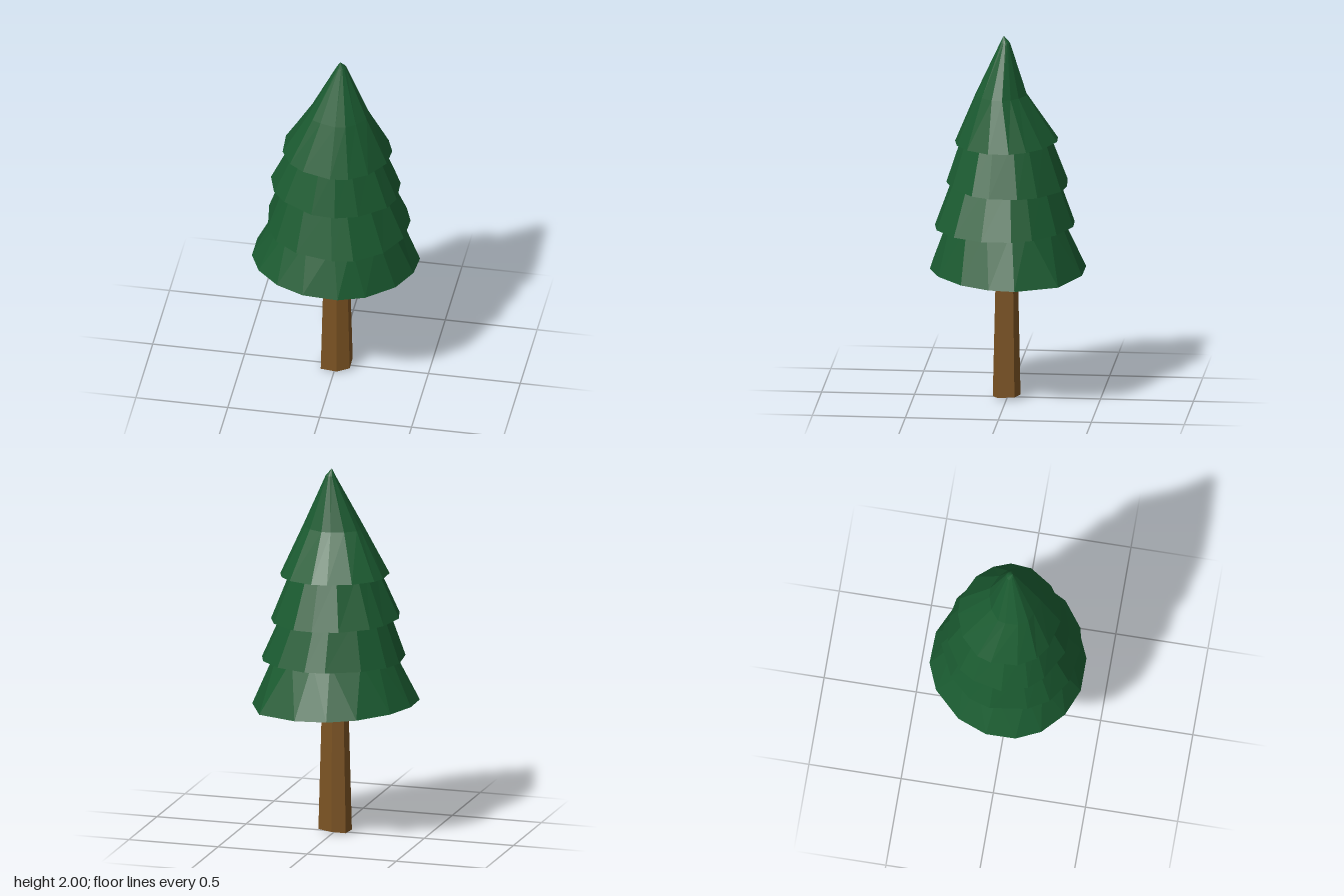
import * as THREE from 'three';

// Flat-shaded loft through rings of equal point count (anticlockwise from above), capped at both ends.
function loft(rings) {
  const pos = [];
  const tri = (...pts) => pts.forEach((p) => pos.push(p.x, p.y, p.z));
  const centre = (r) => r.reduce((s, p) => s.add(p), new THREE.Vector3()).divideScalar(r.length);
  const n = rings[0].length;
  const first = rings[0], last = rings[rings.length - 1];
  const low = centre(first), high = centre(last);
  for (let i = 0; i < n; i++) {
    const j = (i + 1) % n;
    for (let k = 0; k < rings.length - 1; k++) {
      const a = rings[k], b = rings[k + 1];
      tri(a[i], a[j], b[j]);
      tri(a[i], b[j], b[i]);
    }
    tri(low, first[j], first[i]);
    tri(high, last[i], last[j]);
  }
  const geo = new THREE.BufferGeometry();
  geo.setAttribute('position', new THREE.Float32BufferAttribute(pos, 3));
  geo.computeVertexNormals();
  return geo;
}

// Ring from plan points [x, z], on a plane tilted along x and z.
const planRing = (plan, y, tiltX = 0, tiltZ = 0) =>
  plan.map(([x, z]) => new THREE.Vector3(x, y + tiltX * x + tiltZ * z, z));

// Slightly irregular oval plan spanning x0..x1 and z0..z1.
const SIDES = 15;
function oval(x0, x1, z0, z1, turn, wobble = 0.02) {
  return Array.from({ length: SIDES }, (_, i) => {
    const a = ((i + turn) / SIDES) * Math.PI * 2 + 0.07 * Math.sin(i * 2.3 + turn * 5);
    const r = 1 + wobble * Math.sin(i * 4.1 + turn * 9) * 0.5;
    return [(x0 + x1) / 2 + ((x1 - x0) / 2) * r * Math.cos(a),
      (z0 + z1) / 2 - ((z1 - z0) / 2) * r * Math.sin(a)];
  });
}

export function createModel() {
  const group = new THREE.Group();
  const leaf = new THREE.MeshStandardMaterial({ color: 0x1a5a30, flatShading: true });
  const bark = new THREE.MeshStandardMaterial({ color: 0x7a5222, flatShading: true });
  const add = (name, rings, material) => {
    const mesh = new THREE.Mesh(loft(rings), material);
    mesh.name = name;
    group.add(mesh);
  };

  // Trunk: tapered six-sided post with a slightly slanted foot
  const foot = [[0.08, 0.045], [0.08, -0.045], [0, -0.07], [-0.075, -0.05], [-0.075, 0.06], [0.015, 0.078]];
  const neck = foot.map(([x, z]) => [x * 0.78, z * 0.78]);
  add('trunk', [planRing(foot, 0.009, 0.07, -0.06), planRing(neck, 0.75)], bark);

  // Lowest skirt of branches, widest and most uneven
  const hem = [[0.44, -0.08], [0.33, -0.305], [0.1, -0.41], [-0.08, -0.415], [-0.23, -0.355],
    [-0.375, -0.21], [-0.44, -0.05], [-0.44, 0.11], [-0.38, 0.24], [-0.26, 0.35],
    [-0.11, 0.41], [0.08, 0.41], [0.22, 0.35], [0.36, 0.215], [0.43, 0.06]];
  add('lowestBranches', [
    planRing(hem, 0.715, -0.045, 0.015),
    planRing(oval(-0.31, 0.32, -0.285, 0.315, 0.4), 1.0),
  ], leaf);

  // Middle skirts, each tucked into the one above
  add('lowerBranches', [
    planRing(oval(-0.378, 0.398, -0.36, 0.39, 0.3), 0.96, -0.02, -0.015),
    planRing(oval(-0.28, 0.27, -0.26, 0.285, 0.3), 1.24),
  ], leaf);
  add('upperBranches', [
    planRing(oval(-0.352, 0.348, -0.328, 0.327, 0.6), 1.188, -0.035, 0.02),
    planRing(oval(-0.225, 0.23, -0.22, 0.235, 0.6), 1.47),
  ], leaf);

  // Crown: cone narrowing to an off-centre blunt tip
  add('crown', [
    planRing(oval(-0.292, 0.297, -0.272, 0.28, 0.2), 1.422, -0.03, -0.03),
    planRing(oval(-0.147, 0.18, -0.105, 0.168, 0.2, 0.06), 1.68),
    planRing(oval(0.003, 0.055, -0.016, 0.036, 0.2), 1.965),
    planRing(oval(0.023, 0.027, 0.016, 0.02, 0.2), 2.0),
  ], leaf);

  return group;
}
